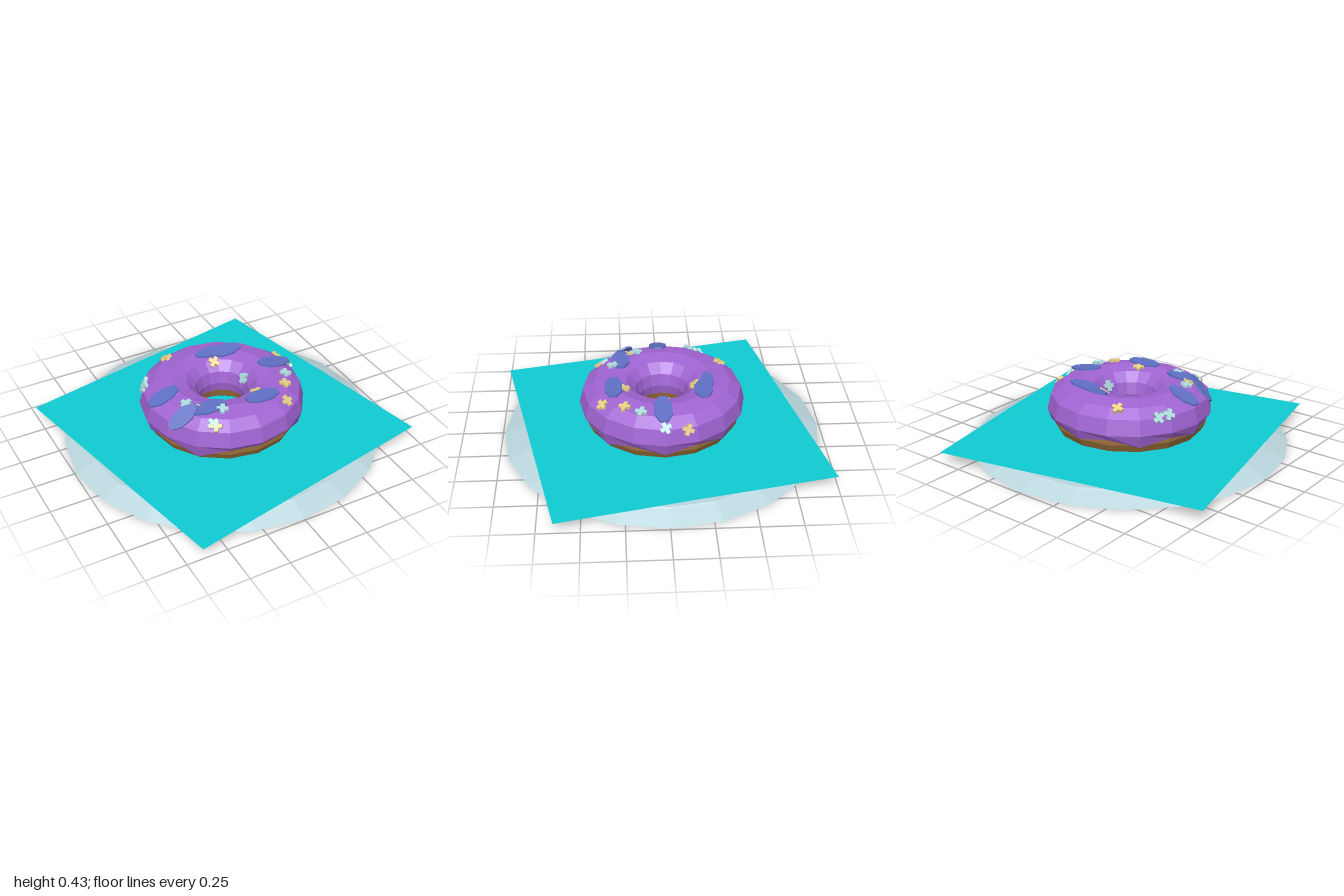
import * as THREE from 'three';

const mat = (name, color, side = THREE.FrontSide) => {
  const m = new THREE.MeshStandardMaterial({ color, side });
  m.name = name;
  return m;
};

// Faceted copy: every face gets its own normal
function faceted(geo) {
  const g = geo.index ? geo.toNonIndexed() : geo;
  g.computeVertexNormals();
  return g;
}

const lathe = (pts, sides) =>
  new THREE.LatheGeometry(pts.map(([r, y]) => new THREE.Vector2(r, y)), sides);

// Icing cross-section, from the outer hem over the top to the hole
const ICING = [
  [0.488, 0.16], [0.512, 0.22], [0.488, 0.315], [0.42, 0.364], [0.31, 0.383],
  [0.22, 0.362], [0.165, 0.305], [0.147, 0.23], [0.158, 0.17],
];
const SIDES = 16;
const HEM = [0.185, 0.185, 0.135, 0.18, 0.14, 0.185, 0.15, 0.18,
  0.155, 0.185, 0.14, 0.18, 0.15, 0.185, 0.13, 0.185];

// Height of the icing at a radius
function icingHeight(r) {
  for (let i = 1; i < 7; i++) {
    const [r0, y0] = ICING[i], [r1, y1] = ICING[i + 1];
    if (r <= r0 && r >= r1) return y0 + (y1 - y0) * (r0 - r) / (r0 - r1);
  }
  return 0.23;
}

// Stand an object on the icing at (x, z), tilted with the surface
function placeOnIcing(obj, x, z, spin, spread, lift) {
  const step = Math.PI * 2 / SIDES;
  const phi = Math.atan2(x, z) + Math.PI * 2;
  const a = (phi % step) - step / 2;
  const r = Math.min(0.51, Math.max(0.149, Math.hypot(x, z) * Math.cos(a) / Math.cos(step / 2)));
  const hi = Math.min(0.51, r + spread), lo = Math.max(0.149, r - spread);
  const slope = (icingHeight(hi) - icingHeight(lo)) / (hi - lo);
  const len = Math.hypot(x, z);
  const normal = new THREE.Vector3(-slope * x / len, 1, -slope * z / len).normalize();
  const up = new THREE.Vector3(0, 1, 0);
  obj.quaternion.setFromUnitVectors(up, normal)
    .multiply(new THREE.Quaternion().setFromAxisAngle(up, spin));
  obj.position.set(x, icingHeight(r), z).addScaledVector(normal, lift);
}

// Small plus-shaped sprinkle lying flat
function crossGeometry() {
  const a = 0.035, b = 0.012;
  const pts = [[b, a], [b, b], [a, b], [a, -b], [b, -b], [b, -a],
    [-b, -a], [-b, -b], [-a, -b], [-a, b], [-b, b], [-b, a]];
  const shape = new THREE.Shape(pts.map(([x, y]) => new THREE.Vector2(x, y)));
  const g = new THREE.ExtrudeGeometry(shape, { depth: 0.022, bevelEnabled: false });
  g.rotateX(-Math.PI / 2);
  g.translate(0, -0.008, 0);
  return faceted(g);
}

export function createModel() {
  const model = new THREE.Group();
  model.name = 'doughnutOnPlate';

  const plateMat = mat('pale blue plate', 0xbad6dd);
  const napkinMat = mat('turquoise napkin', 0x10cad2, THREE.DoubleSide);
  const doughMat = mat('brown dough', 0xa0733e);
  const icingMat = mat('purple icing', 0xa064d2, THREE.DoubleSide);
  const discMat = mat('blue sugar', 0x6070c4);
  const yellowMat = mat('yellow sugar', 0xecd488);
  const mintMat = mat('mint sugar', 0xb0dde0);

  const add = (name, geo, material, parent = model) => {
    const m = new THREE.Mesh(geo, material);
    m.name = name;
    parent.add(m);
    return m;
  };

  // Plate with sloping rim
  add('plate', faceted(lathe([[0, 0], [0.99, 0], [0.88, 0.05], [0.87, 0.056], [0, 0.056]], 20)), plateMat);

  // Napkin: a turned square sheet with a gentle ripple
  const size = 1.687;
  const sheet = new THREE.PlaneGeometry(size, size, 6, 6);
  sheet.rotateX(-Math.PI / 2);
  const p = sheet.attributes.position;
  for (let i = 0; i < p.count; i++) {
    const x = p.getX(i), z = p.getZ(i);
    p.setY(i, 0.072 + 0.003 * Math.sin(3 * x + 1) * Math.cos(3 * z) - 0.008 * Math.abs(x * z));
  }
  sheet.rotateY(0.209);
  add('napkin', faceted(sheet), napkinMat);

  // Dough ring
  add('dough', faceted(lathe([[0.165, 0.22], [0.158, 0.17], [0.175, 0.115], [0.22, 0.08],
    [0.40, 0.08], [0.455, 0.1], [0.482, 0.15], [0.486, 0.21]], SIDES)), doughMat);

  // Icing with an uneven outer hem
  const icing = lathe(ICING, SIDES);
  const ip = icing.attributes.position;
  for (let s = 0; s <= SIDES; s++) ip.setY(s * ICING.length, HEM[s % SIDES]);
  add('icing', faceted(icing), icingMat);

  // Sugar discs: x, z, half length, half width
  const discs = new THREE.Group();
  discs.name = 'sugarDiscs';
  model.add(discs);
  [[-0.4, 0.01, 0.105, 0.056], [-0.375, 0.22, 0.105, 0.052], [-0.22, 0.25, 0.11, 0.056],
    [0.115, 0.3, 0.11, 0.056], [0.36, 0.01, 0.112, 0.056], [0.155, -0.245, 0.105, 0.056],
    [0.06, -0.275, 0.1, 0.04]].forEach(([x, z, a, b]) => {
    const g = new THREE.CylinderGeometry(1, 1, 0.012, 8);
    g.rotateY(Math.PI / 8);
    g.scale(a * 1.04, 1, b * 1.04);
    placeOnIcing(add('sugarDisc', faceted(g), discMat, discs), x, z, 0, 0.08, 0.008);
  });

  // Plus-shaped sprinkles
  const sprinkles = new THREE.Group();
  sprinkles.name = 'sprinkles';
  model.add(sprinkles);
  const cross = crossGeometry();
  const scatter = (name, material, spots) => spots.forEach(([x, z], i) => {
    placeOnIcing(add(name, cross, material, sprinkles), x, z, (i * 0.7) % 1.57, 0.025, 0.002);
  });
  scatter('yellowSprinkle', yellowMat, [[-0.2, -0.37], [0.05, -0.2], [0.465, -0.13],
    [0.11, 0.235], [0.31, 0.235], [0.245, 0.365], [-0.24, 0.38], [-0.295, 0.215]]);
  scatter('mintSprinkle', mintMat, [[-0.405, -0.25], [-0.435, -0.19], [0.165, -0.01],
    [0.475, 0], [0.37, 0.14], [-0.32, 0.15], [-0.155, 0.3], [-0.25, 0.36]]);

  return model;
}
